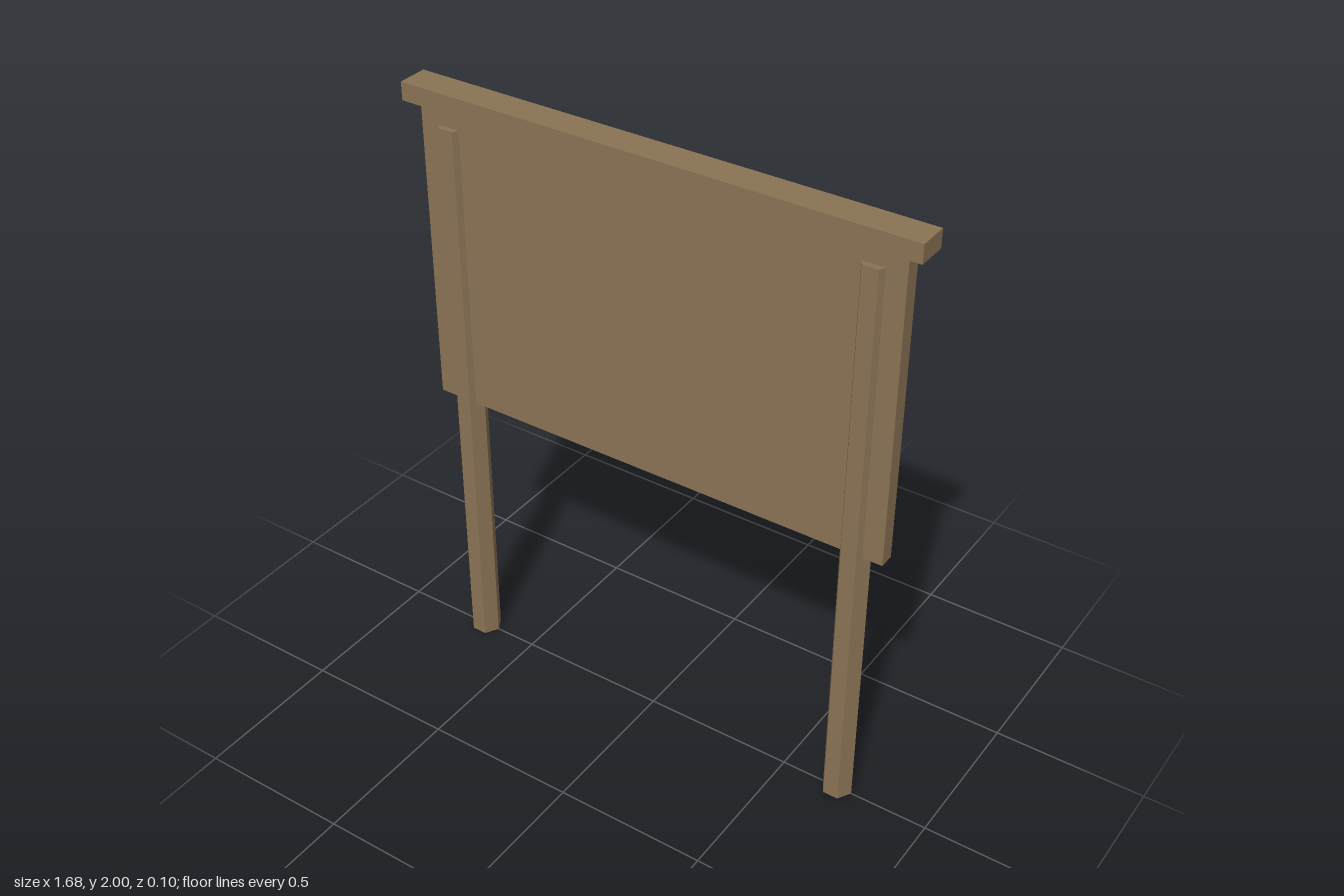
import * as THREE from 'three';

const wood = new THREE.MeshStandardMaterial({ color: 0x8b7355 });
wood.name = 'wood';
const paper = new THREE.MeshStandardMaterial({ color: 0xc4c1b4 });
paper.name = 'paper';
const ink = new THREE.MeshStandardMaterial({ color: 0x55534a });
ink.name = 'ink';

export function createModel() {
  const group = new THREE.Group();

  const add = (name, geometry, material, x, y, z) => {
    const mesh = new THREE.Mesh(geometry, material);
    mesh.name = name;
    mesh.position.set(x, y, z);
    group.add(mesh);
    return mesh;
  };
  const box = (name, w, h, d, material, x, y, z) =>
    add(name, new THREE.BoxGeometry(w, h, d), material, x, y, z);

  // Board and cap rail, with a slim gap between them
  box('board', 1.584, 0.988, 0.05, wood, 0, 1.44, 0);
  box('capRail', 1.68, 0.058, 0.1, wood, 0, 1.971, 0);

  // Six-sided posts with a flat face to the front and back
  for (const side of [-1, 1]) {
    const post = new THREE.CylinderGeometry(0.05, 0.05, 1.885, 6).toNonIndexed();
    post.rotateY(Math.PI / 6);
    post.computeVertexNormals();
    add(side > 0 ? 'leftPost' : 'rightPost', post, wood, side * 0.693, 0.9425, 0);
  }

  // Notice sheet on the back, with a side flap reaching behind the post
  const outline = [
    [-0.39, 1.115], [0.4, 1.115], [0.4, 1.036], [0.69, 1.036],
    [0.69, 1.435], [0.4, 1.435], [0.4, 1.857], [-0.39, 1.857],
  ].map(([x, y]) => new THREE.Vector2(x, y));
  const sheet = new THREE.ExtrudeGeometry(new THREE.Shape(outline), { depth: 0.012, bevelEnabled: false });
  add('noticeSheet', sheet, paper, 0, 0, -0.036);

  // Printed lines: a wider heading, then six rows
  for (let i = 0; i < 7; i++) {
    box(i ? 'textLine' : 'headingLine', i ? 0.62 : 0.693, 0.028, 0.006, ink, 0.004, 1.76 - 0.09 * i, -0.037);
  }

  return group;
}
